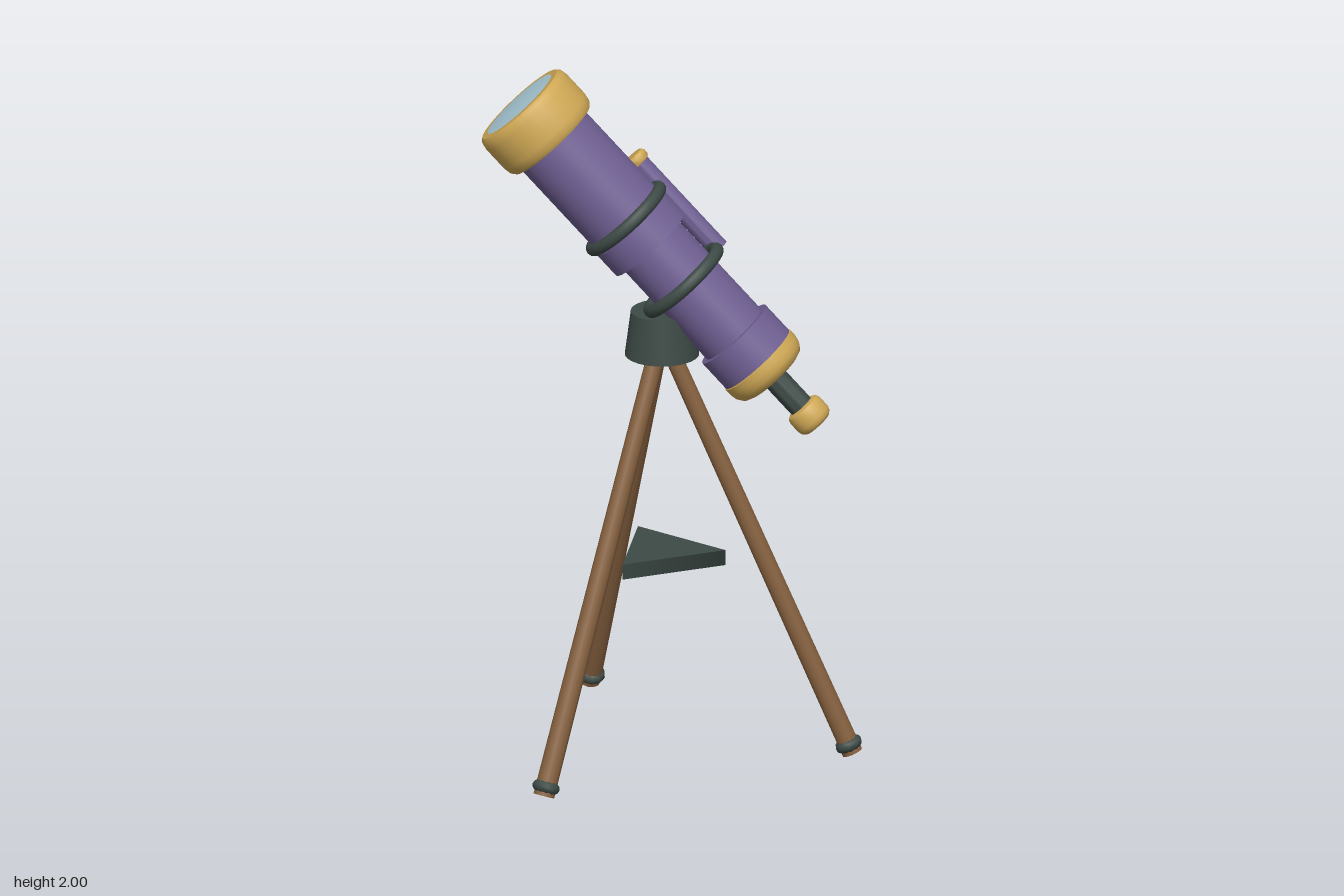
import * as THREE from 'three';
import { toCreasedNormals } from 'three/addons/utils/BufferGeometryUtils.js';

const paint = (name, color) => {
  const m = new THREE.MeshStandardMaterial({ color });
  m.name = name;
  return m;
};

export function createModel() {
  const purple = paint('purple enamel', 0x6f5f92);
  const brass = paint('brass', 0xcfa855);
  const iron = paint('dark iron', 0x3d4a45);
  const wood = paint('wood', 0x86613f);
  const glass = paint('glass', 0xaaccda);

  const model = new THREE.Group();
  model.name = 'telescope';
  const CZ = 0.13; // tripod centre in z

  const add = (parent, name, geometry, material) => {
    const mesh = new THREE.Mesh(geometry, material);
    mesh.name = name;
    parent.add(mesh);
    return mesh;
  };
  // turned part: [radius, height] pairs, from the bottom up
  const turned = (profile, segments = 32) => toCreasedNormals(
    new THREE.LatheGeometry(profile.map(([r, y]) => new THREE.Vector2(r, y)), segments), 0.7);
  const drum = (r, y0, y1) => turned([[0, y0], [r, y0], [r, y1], [0, y1]]);

  // tripod legs with feet, at 120 degrees
  const up = new THREE.Vector3(0, 1, 0);
  for (let i = 0; i < 3; i++) {
    const a = Math.PI / 6 + i * Math.PI * 2 / 3;
    const at = (r, y) => new THREE.Vector3(Math.cos(a) * r, y, CZ + Math.sin(a) * r);
    const top = at(0.02, 1.2), foot = at(0.54, 0.012);
    const leg = new THREE.Group();
    leg.name = 'leg' + (i + 1);
    leg.position.copy(foot);
    const dir = top.clone().sub(foot);
    leg.quaternion.setFromUnitVectors(up, dir.clone().normalize());
    const len = dir.length();
    add(leg, 'legPole', new THREE.CylinderGeometry(0.025, 0.03, len, 12), wood).position.y = len / 2;
    const pad = add(leg, 'foot', new THREE.SphereGeometry(0.04, 10, 8), iron);
    pad.position.y = 0.026;
    pad.scale.y = 0.6;
    model.add(leg);
  }

  // triangular tray and mount head
  const tray = add(model, 'tray', new THREE.CylinderGeometry(0.18, 0.18, 0.045, 3), iron);
  tray.position.set(0, 0.577, CZ);
  tray.rotation.y = Math.PI;
  add(model, 'mountHead', new THREE.CylinderGeometry(0.088, 0.105, 0.13, 24), iron).position.set(0, 1.245, CZ);

  // optical assembly: local y runs along the tube towards the big lens
  const optics = new THREE.Group();
  optics.name = 'opticalTube';
  const elev = THREE.MathUtils.degToRad(47), turn = THREE.MathUtils.degToRad(31);
  const axis = new THREE.Vector3(
    -Math.cos(elev) * Math.cos(turn), Math.sin(elev), -Math.cos(elev) * Math.sin(turn));
  const side = new THREE.Vector3(Math.sin(turn), 0, -Math.cos(turn));
  optics.quaternion.setFromRotationMatrix(
    new THREE.Matrix4().makeBasis(side, axis, side.clone().cross(axis)));
  optics.position.set(0, 1.47, CZ);
  model.add(optics);

  add(optics, 'upperTube', drum(0.122, 0.06, 0.47), purple);
  add(optics, 'middleCollar', drum(0.13, 0.05, 0.13), purple);
  add(optics, 'lowerTube', drum(0.104, -0.35, 0.06), purple);
  add(optics, 'lowerCollar', drum(0.121, -0.4, -0.3), purple);

  // brass fittings
  add(optics, 'lensCell', turned([[0, 0.457], [0.142, 0.457], [0.151, 0.468], [0.155, 0.49],
    [0.155, 0.565], [0.151, 0.585], [0.142, 0.594], [0, 0.594]]), brass);
  add(optics, 'lens', turned([[0.121, 0.595], [0.08, 0.599], [0.04, 0.601], [0, 0.602]]), glass);
  add(optics, 'rearCap', turned([[0, -0.466], [0.088, -0.466], [0.108, -0.458], [0.12, -0.44],
    [0.124, -0.42], [0.124, -0.4], [0.115, -0.395], [0, -0.395]]), brass);
  add(optics, 'drawTube', drum(0.036, -0.6, -0.46), iron);
  add(optics, 'eyepiece', turned([[0, -0.65], [0.042, -0.65], [0.052, -0.642], [0.056, -0.63],
    [0.056, -0.598], [0.052, -0.586], [0.042, -0.58], [0, -0.58]], 24), brass);

  // clamp rings
  for (const y of [0.15, -0.09]) {
    const ring = add(optics, 'clampRing', new THREE.TorusGeometry(0.127, 0.019, 12, 40), iron);
    ring.rotation.x = Math.PI / 2;
    ring.position.y = y;
  }

  // finder scope riding on the rings
  const finder = new THREE.Group();
  finder.name = 'finderScope';
  finder.position.set(0.15, 0, 0.086);
  add(finder, 'finderTube', drum(0.029, -0.11, 0.23), purple);
  add(finder, 'finderCap', turned([[0, 0.222], [0.033, 0.222], [0.037, 0.228], [0.037, 0.242],
    [0.031, 0.25], [0, 0.252]], 20), brass);
  optics.add(finder);

  return model;
}
